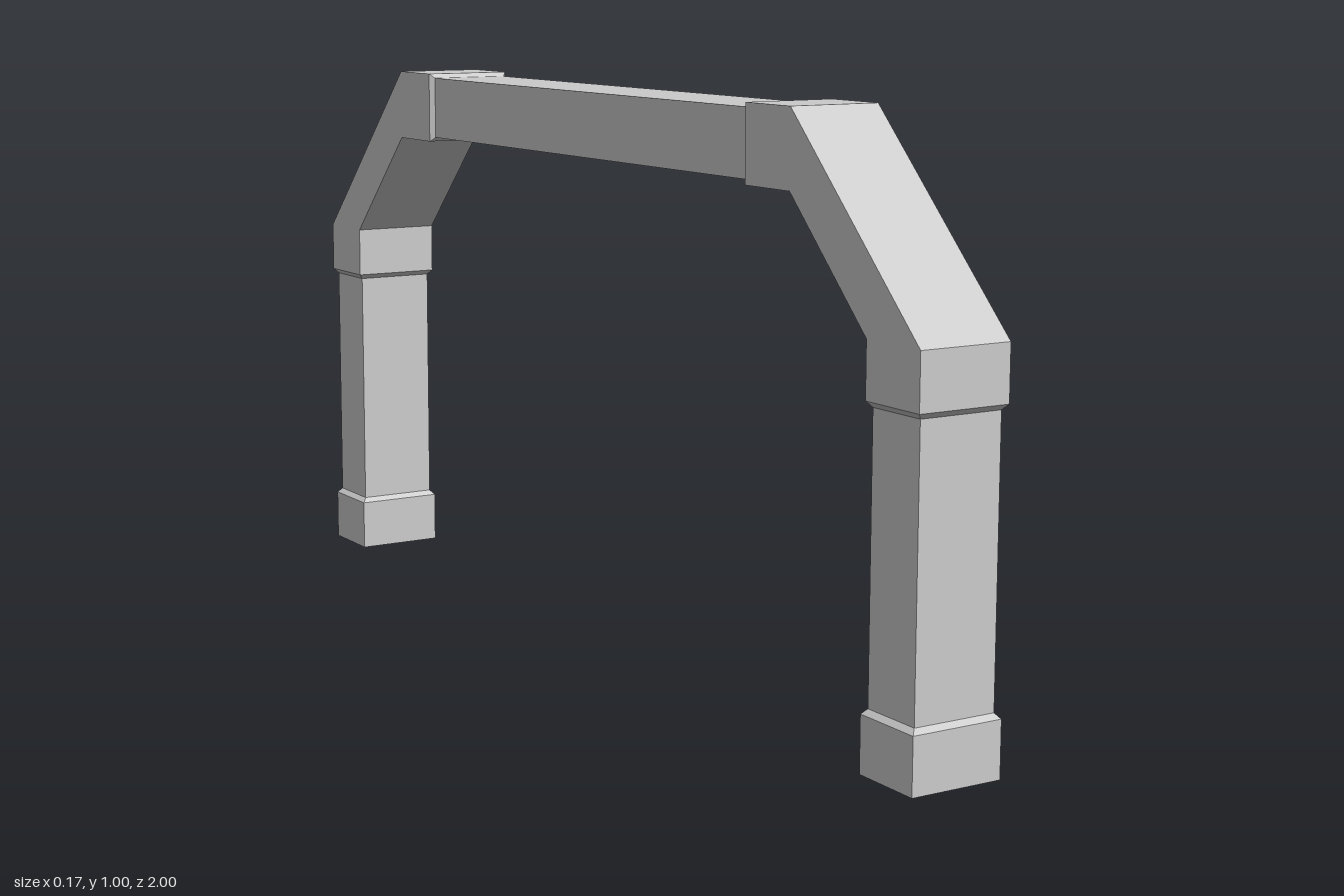
import * as THREE from 'three';

const material = new THREE.MeshStandardMaterial({ color: 0xcccccc, flatShading: true });

// Section: [half width, outer z, outer y, inner z, inner y]
const ring = ([w, oz, oy, iz, iy]) => [[w, oy, oz], [-w, oy, oz], [-w, iy, iz], [w, iy, iz]];

// Skin a run of rectangular sections, optionally closing the first one
function loft(name, sections, capStart = false) {
  const rings = sections.map(ring);
  const pos = [];
  const quad = (a, b, c, d) => pos.push(...a, ...b, ...c, ...a, ...c, ...d);
  for (let s = 0; s < rings.length - 1; s++) {
    const a = rings[s], b = rings[s + 1];
    for (let i = 0; i < 4; i++) {
      const j = (i + 1) % 4;
      quad(a[i], b[i], b[j], a[j]);
    }
  }
  if (capStart) quad(...rings[0]);
  const geometry = new THREE.BufferGeometry();
  geometry.setAttribute('position', new THREE.Float32BufferAttribute(pos, 3));
  geometry.computeVertexNormals();
  const mesh = new THREE.Mesh(geometry, material);
  mesh.name = name;
  return mesh;
}

const W = 0.083, w = 0.075;            // half widths of thick and thin sections
const OUT = 1, IN = 0.87;              // thick section faces
const out = 0.992, inn = 0.878;        // thin section faces

function createSide(name) {
  const side = new THREE.Group();
  side.name = name;
  // Foot block with a chamfered upper rim
  side.add(loft('foot', [
    [W, OUT, 0, IN, 0], [W, OUT, 0.095, IN, 0.095], [w, out, 0.104, inn, 0.104],
  ], true));
  // Slimmer upright
  side.add(loft('post', [[w, out, 0.104, inn, 0.104], [w, out, 0.566, inn, 0.566]]));
  // Angled elbow, chamfered at both ends
  side.add(loft('elbow', [
    [w, out, 0.566, inn, 0.566],
    [W, OUT, 0.575, IN, 0.575],
    [W, OUT, 0.668, IN, 0.668],
    [W, 0.668, OUT, 0.668, IN],
    [W, 0.546, OUT, 0.546, IN],
    [w, 0.537, out, 0.537, inn],
  ]));
  return side;
}

export function createModel() {
  const model = new THREE.Group();
  model.name = 'archFrame';
  const front = createSide('frontSide');
  const back = createSide('backSide');
  back.rotation.y = Math.PI;
  // Horizontal beam between the elbows
  const beam = loft('beam', [[w, 0.537, out, 0.537, inn], [w, -0.537, out, -0.537, inn]]);
  model.add(front, back, beam);
  return model;
}
